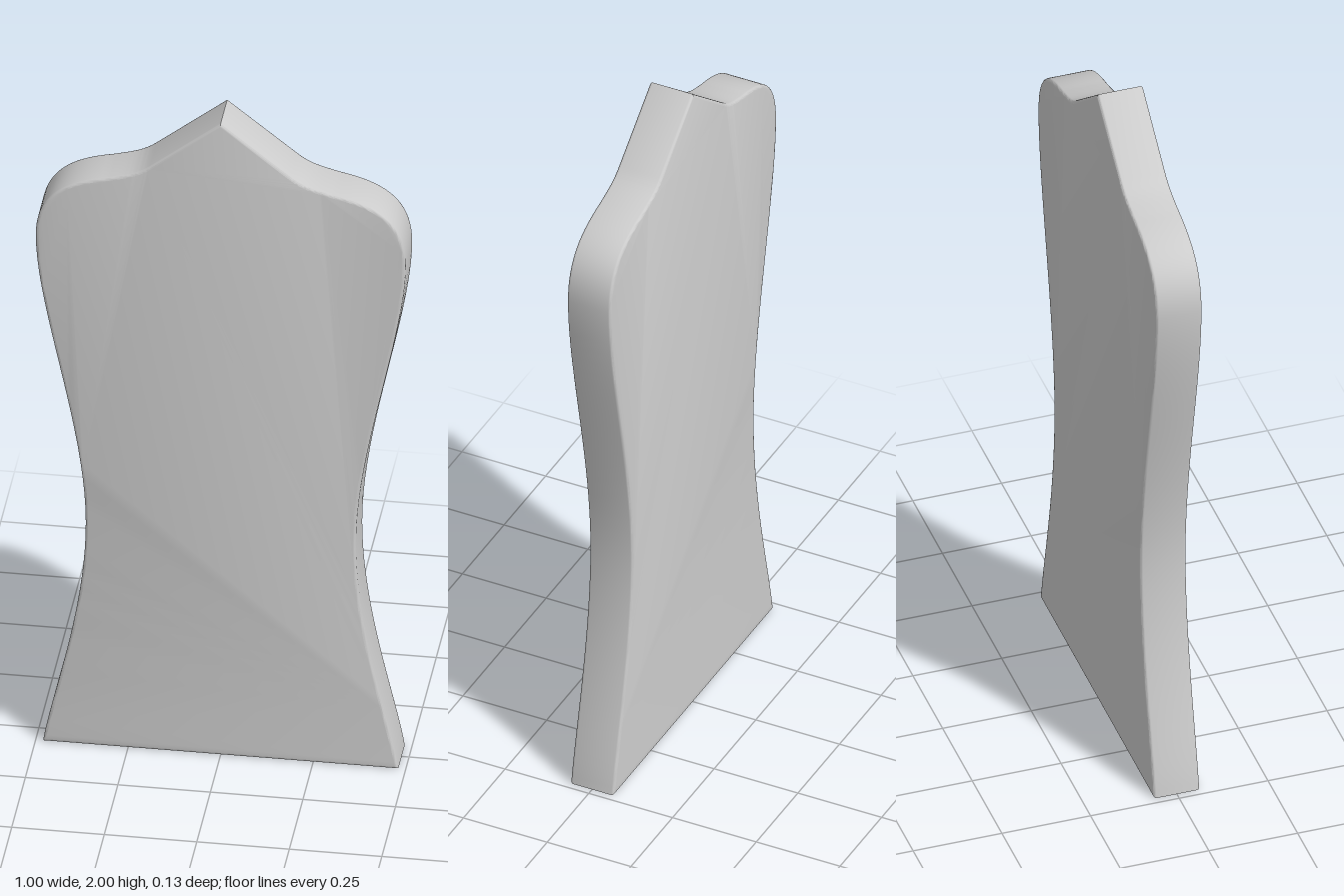
import * as THREE from 'three';
import { toCreasedNormals } from 'three/addons/utils/BufferGeometryUtils.js';

const THICKNESS = 0.13;
const BEVEL = 0.008;

// Half outline from the foot to the peak: bezier segments [c1, c2, end]
const FOOT = [0.48, 0];
const CURVES = [
  [0.46, 0.14, 0.365, 0.42, 0.365, 0.7], // flared foot to waist
  [0.365, 1.0, 0.5, 1.37, 0.5, 1.6], // waist to widest point
  [0.5, 1.74, 0.41, 1.78, 0.307, 1.8], // rounded shoulder
  [0.25, 1.815, 0.225, 1.82, 0.19, 1.848], // dip below the peak
];
const PEAK = [0, 2];

function halfOutline() {
  const path = new THREE.Path();
  path.moveTo(...FOOT);
  CURVES.forEach((c) => path.bezierCurveTo(...c));
  return path.getPoints(20);
}

export function createModel() {
  const group = new THREE.Group();
  group.name = 'shapedPanel';

  // Mirror the half outline about x = 0
  const right = halfOutline();
  const left = right.map((p) => new THREE.Vector2(-p.x, p.y)).reverse();
  const shape = new THREE.Shape([...right, new THREE.Vector2(...PEAK), ...left]);

  // Slab with softly rounded edges, kept inside the outline
  const slab = new THREE.ExtrudeGeometry(shape, {
    depth: THICKNESS - 2 * BEVEL,
    bevelEnabled: true,
    bevelThickness: BEVEL,
    bevelSize: BEVEL,
    bevelOffset: -BEVEL,
    bevelSegments: 3,
  });
  slab.translate(0, 0, -THICKNESS / 2 + BEVEL);

  const panel = new THREE.Mesh(
    toCreasedNormals(slab, 0.6),
    new THREE.MeshStandardMaterial({ color: 0xcccccc })
  );
  panel.name = 'panel';
  group.add(panel);
  return group;
}
